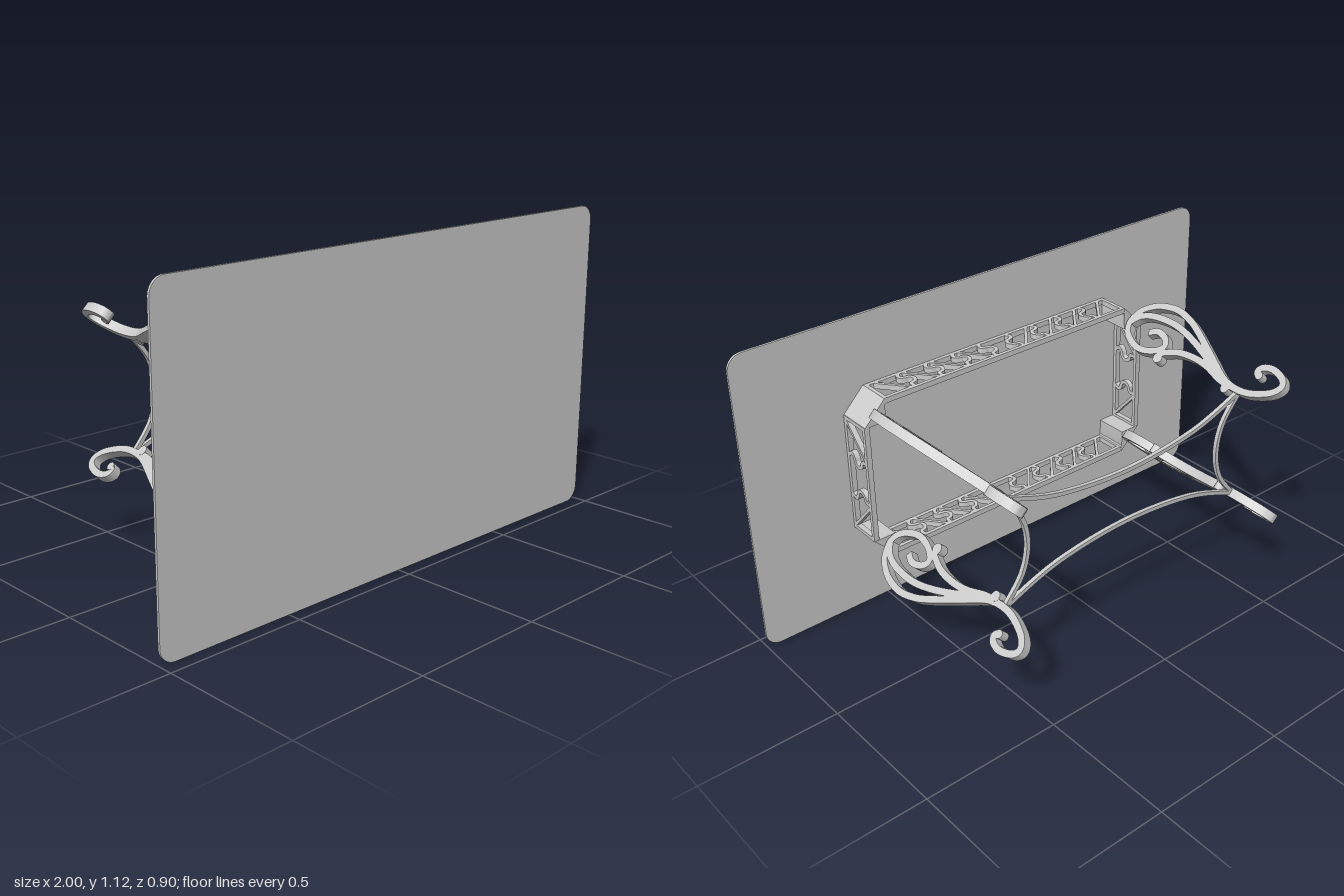
import * as THREE from 'three';
import { toCreasedNormals } from 'three/addons/utils/BufferGeometryUtils.js';

const V2 = (x, y) => new THREE.Vector2(x, y);
const MID = 0.5625; // height of the table's centre line
const material = new THREE.MeshStandardMaterial({ color: 0xcccccc });

function mesh(name, geometry, parent) {
  const m = new THREE.Mesh(geometry, material);
  m.name = name;
  parent.add(m);
  return m;
}

function extrude(shape, depth) {
  const g = new THREE.ExtrudeGeometry(shape, { depth, bevelEnabled: false, curveSegments: 8 });
  g.translate(0, 0, -depth / 2);
  return toCreasedNormals(g, 0.6);
}

// Flat bar of constant width following a smooth path
function ribbon(points, width, depth, steps = 12) {
  const curve = new THREE.SplineCurve(points.map(([x, y]) => V2(x, y)));
  const left = [], right = [];
  const n = points.length === 2 ? 1 : (points.length - 1) * steps / 2;
  for (let i = 0; i <= n; i++) {
    const p = curve.getPoint(i / n), t = curve.getTangent(i / n);
    const dx = -t.y * width / 2, dy = t.x * width / 2;
    left.push(V2(p.x + dx, p.y + dy));
    right.push(V2(p.x - dx, p.y - dy));
  }
  return extrude(new THREE.Shape([...left, ...right.reverse()]), depth);
}

// Group whose local x and y axes point along the given directions
function orientedGroup(name, xAxis, yAxis, position) {
  const g = new THREE.Group();
  g.name = name;
  const zAxis = new THREE.Vector3().crossVectors(xAxis, yAxis);
  g.quaternion.setFromRotationMatrix(new THREE.Matrix4().makeBasis(xAxis, yAxis, zAxis));
  g.position.copy(position);
  return g;
}

// Scrolled leg paths: along the leg, then sideways distance as seen from the side
const legPaths = {
  outerScroll: [[0.297, 0.318], [0.285, 0.285], [0.25, 0.26], [0.2, 0.243], [0.13, 0.236], [0.06, 0.246],
    [0, 0.264], [-0.1, 0.302], [-0.2, 0.341], [-0.25, 0.352], [-0.3, 0.354], [-0.35, 0.347], [-0.41, 0.327],
    [-0.436, 0.303], [-0.42, 0.283], [-0.37, 0.272], [-0.33, 0.278], [-0.318, 0.292], [-0.335, 0.303]],
  spiral: [[0.285, 0.285], [0.297, 0.318], [0.27, 0.35], [0.2, 0.37], [0.13, 0.361], [0.092, 0.338],
    [0.11, 0.317], [0.155, 0.309], [0.19, 0.322]],
  middleStem: [[0.292, 0.315], [0.26, 0.29], [0.2, 0.276], [0.1, 0.274], [0, 0.29], [-0.1, 0.316],
    [-0.2, 0.345], [-0.26, 0.354]],
  innerStem: [[0.1, 0.362], [0.07, 0.349], [0.02, 0.335], [-0.05, 0.33], [-0.12, 0.335], [-0.2, 0.351], [-0.26, 0.354]],
};
const toLeg = ([z, y]) => [z, (0.2975 - y) * Math.SQRT2];

function makeLeg(sx, sy) {
  const outward = new THREE.Vector3(sx, sy, 0).normalize();
  const leg = orientedGroup('leg', new THREE.Vector3(0, 0, 1), outward,
    new THREE.Vector3(sx * 0.5775, MID + sy * 0.265, 0));
  for (const [name, path] of Object.entries(legPaths))
    mesh(name, ribbon(path.map(toLeg), 0.025, 0.034), leg);
  // rounded buds at the ends of the inner stem and the foot scroll
  for (const [z, y, r] of [[0.09, 0.371, 0.02], [-0.237, 0.364, 0.018], [-0.332, 0.3, 0.015]]) {
    const [a, b] = toLeg([z, y]);
    const bud = mesh('scrollBud', new THREE.CylinderGeometry(r, r, 0.035, 20), leg);
    bud.rotation.x = Math.PI / 2;
    bud.position.set(a, b, 0);
  }
  return leg;
}

// Border of an apron panel, drawn with its length along local y and depth along local x
function panelBorder(length, bar) {
  const rect = (shape, x, y) => shape.setFromPoints([V2(-x, -y), V2(x, -y), V2(x, y), V2(-x, y)]);
  const s = rect(new THREE.Shape(), 0.0625, length / 2);
  s.holes.push(rect(new THREE.Path(), 0.0625 - bar, length / 2 - bar));
  return extrude(s, 0.02);
}

const hook = [[0.052, 0.004], [0.032, 0.014], [0.02, 0.002], [0.014, -0.018], [-0.004, -0.026],
  [-0.022, -0.016], [-0.03, 0.004], [-0.054, 0.006]];

// Fretwork: one diagonal and one S-hook per bay, mirrored about the panel's middle
function makePanel(name, length, bays, xAxis, yAxis, position) {
  const panel = orientedGroup(name, xAxis, yAxis, position);
  mesh('panelBorder', panelBorder(length, 0.014), panel);
  for (const side of [-1, 1])
    for (const [from, to, hookAt] of bays) {
      mesh('diagonalBar', ribbon([[0.054, side * from], [-0.054, side * to]], 0.011, 0.02), panel);
      mesh('scrollHook', ribbon(hook.map(([x, y]) => [x, side * (hookAt + y)]), 0.014, 0.02), panel);
    }
  return panel;
}

export function createModel() {
  const model = new THREE.Group();
  model.name = 'table';

  // thin top with rounded corners
  const w = 1, h = MID, r = 0.055, top = new THREE.Shape();
  top.moveTo(-w + r, -h);
  top.absarc(w - r, -h + r, r, -Math.PI / 2, 0);
  top.absarc(w - r, h - r, r, 0, Math.PI / 2);
  top.absarc(-w + r, h - r, r, Math.PI / 2, Math.PI);
  top.absarc(-w + r, -h + r, r, Math.PI, Math.PI * 1.5);
  mesh('tableTop', extrude(top, 0.009), model).position.set(0, MID, 0.4485);

  const base = new THREE.Group();
  base.name = 'base';
  base.position.x = -0.005;
  model.add(base);

  const X = new THREE.Vector3(1, 0, 0), Y = new THREE.Vector3(0, 1, 0), Z = new THREE.Vector3(0, 0, 1);
  const sideBays = [[0.21, 0.09, 0.075]];
  const longBays = [0.5, 0.385, 0.27, 0.155].map((x) => [x, x - 0.085, x - 0.1]);

  for (const s of [-1, 1]) {
    // apron panels between the corner blocks
    base.add(makePanel('sideApron', 0.45, sideBays, Z, Y, new THREE.Vector3(s * 0.61, MID, 0.3775)));
    // long panels: local y runs along x, local x along z
    base.add(makePanel('longApron', 1.07, longBays, Z, X, new THREE.Vector3(0, MID + s * 0.298, 0.3775)));

    // bowed stretchers between the legs
    mesh('longStretcher', ribbon([[-0.525, s * 0.207], [-0.3, s * 0.13], [0, s * 0.1], [0.3, s * 0.13],
      [0.525, s * 0.207]], 0.015, 0.015), base).position.set(0, MID, -0.282);
    mesh('sideStretcher', ribbon([[s * 0.525, -0.207], [s * 0.45, -0.11], [s * 0.425, 0], [s * 0.45, 0.11],
      [s * 0.525, 0.207]], 0.015, 0.015), base).position.set(0, MID, -0.282);

    // corner blocks cut off at an angle, and the legs standing on them
    for (const t of [-1, 1]) {
      const block = new THREE.Shape([V2(s * 0.62, t * 0.2225), V2(s * 0.535, t * 0.3075),
        V2(s * 0.53, t * 0.288), V2(s * 0.6, t * 0.2225)]);
      block.setFromPoints([V2(s * 0.62, t * 0.2225), V2(s * 0.535, t * 0.3075), V2(s * 0.535, t * 0.2225)]);
      mesh('cornerBlock', extrude(block, 0.127), base).position.set(0, MID, 0.3775);
      base.add(makeLeg(s, t));
    }
  }
  return model;
}
